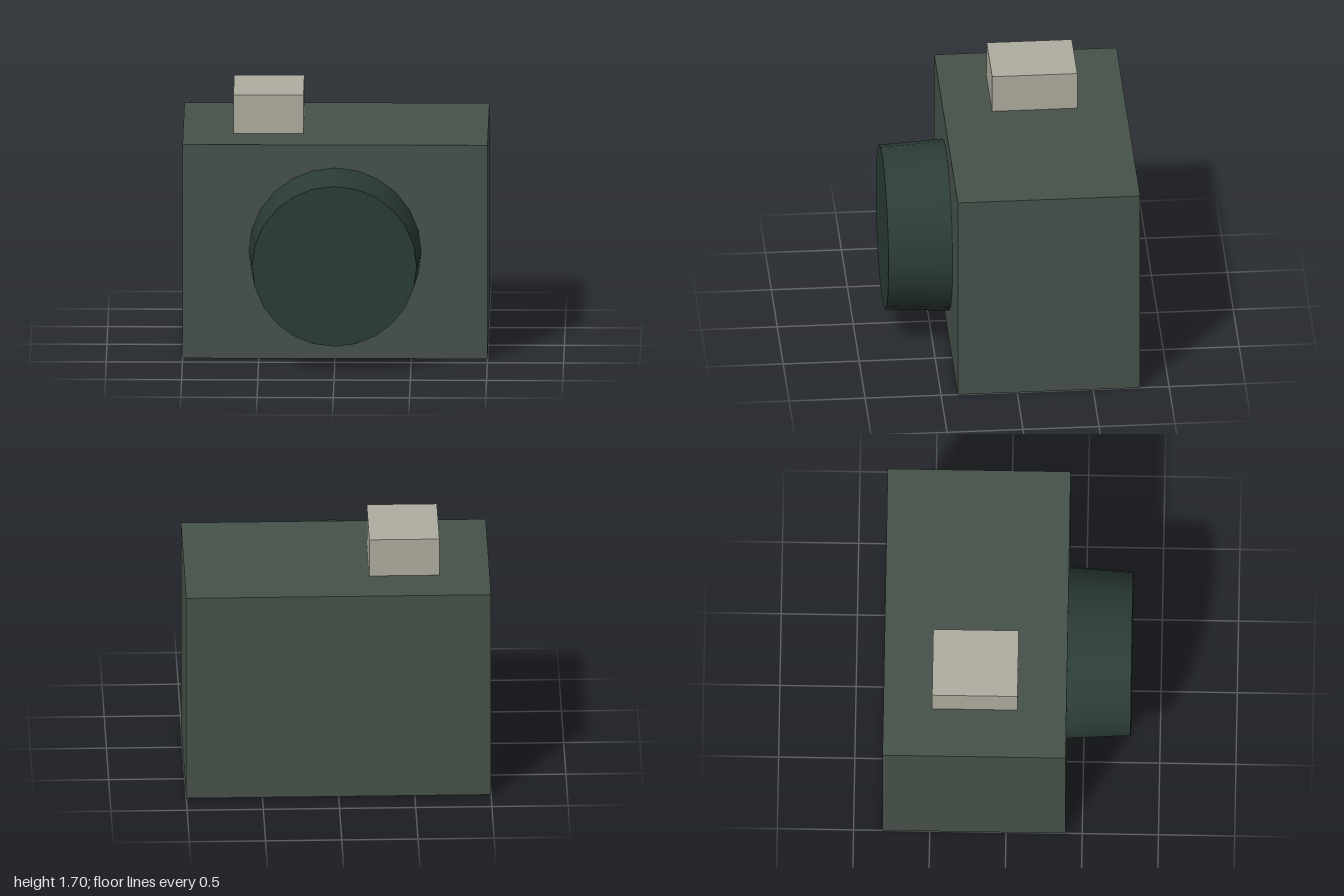
import * as THREE from 'three';

function part(name, geometry, color, x, y, z) {
  const mesh = new THREE.Mesh(geometry, new THREE.MeshStandardMaterial({ color }));
  mesh.name = name;
  mesh.position.set(x, y, z);
  return mesh;
}

export function createModel() {
  const model = new THREE.Group();
  model.name = 'camera';

  // Boxy body, set back so the lens fits in front of it
  model.add(part('body', new THREE.BoxGeometry(2, 1.44, 1.2), 0x46524a, 0, 0.72, -0.21));

  // Lens barrel, tapering slightly towards the front
  const lens = new THREE.CylinderGeometry(0.54, 0.565, 0.42, 24).rotateX(Math.PI / 2);
  model.add(part('lens', lens, 0x2c3c36, 0, 0.72, 0.6));

  // Shutter button on top, on the model's right
  model.add(part('shutterButton', new THREE.BoxGeometry(0.46, 0.26, 0.56), 0xb0ada0, -0.44, 1.57, -0.21));

  return model;
}
